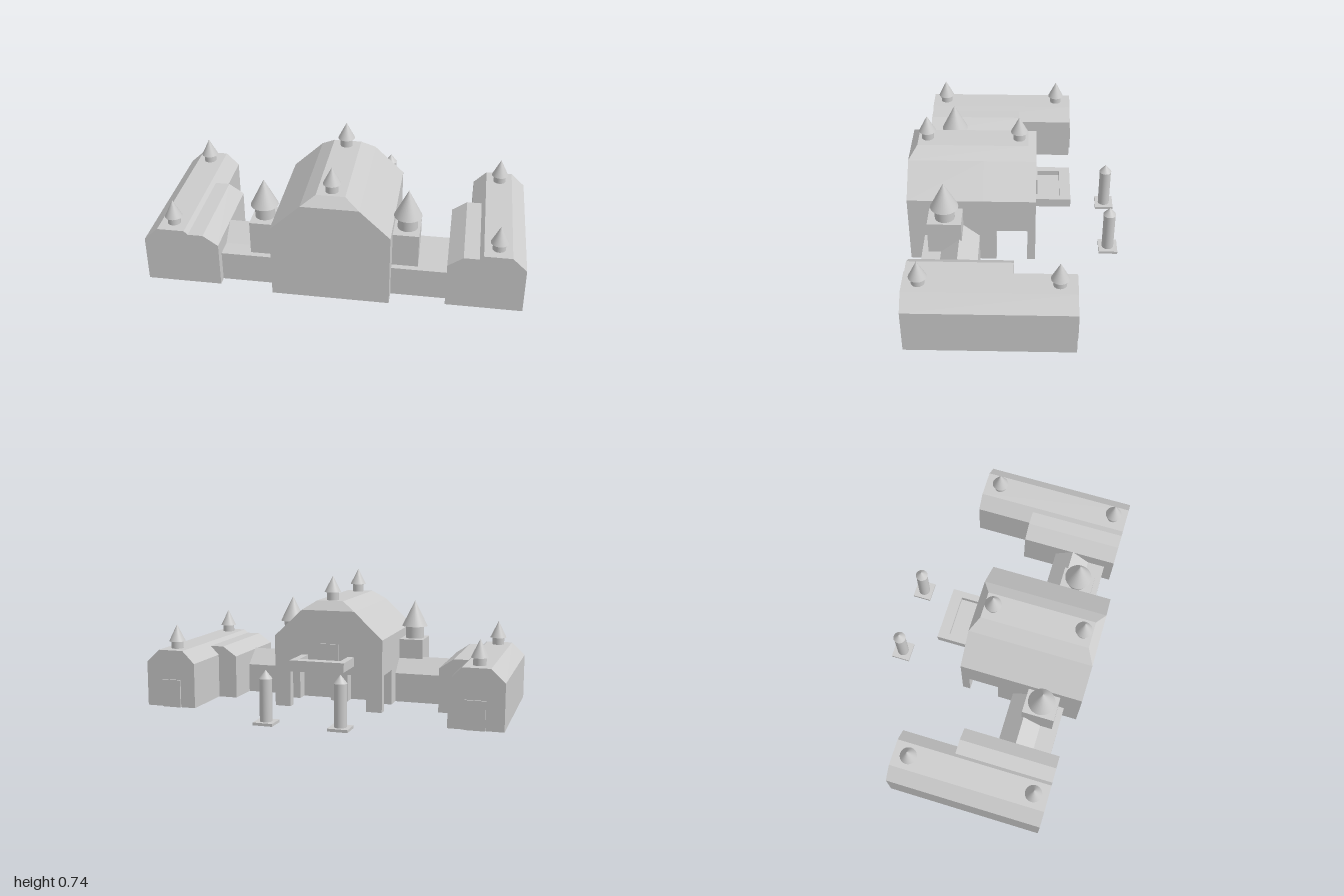
import * as THREE from 'three';

const grey = new THREE.MeshStandardMaterial({ color: 0xcccccc });

function add(parent, name, geometry) {
  const mesh = new THREE.Mesh(geometry, grey);
  mesh.name = name;
  parent.add(mesh);
  return mesh;
}

// Box given by its limits on each axis
function block(parent, name, x0, x1, y0, y1, z0, z1) {
  const g = new THREE.BoxGeometry(Math.abs(x1 - x0), y1 - y0, z1 - z0);
  g.translate((x0 + x1) / 2, (y0 + y1) / 2, (z0 + z1) / 2);
  return add(parent, name, g);
}

// Outline in x and y, extruded from z0 to z1
function prism(parent, name, points, z0, z1) {
  const shape = new THREE.Shape(points.map(([x, y]) => new THREE.Vector2(x, y)));
  const g = new THREE.ExtrudeGeometry(shape, { depth: z1 - z0, bevelEnabled: false });
  g.translate(0, 0, z0);
  return add(parent, name, g);
}

// Round drum with a conical cap
function turret(parent, name, x, z, y0, y1, y2, r, capR) {
  const t = new THREE.Group();
  t.name = name;
  t.position.set(x, 0, z);
  add(t, 'drum', new THREE.CylinderGeometry(r, r, y1 - y0, 32)).position.y = (y0 + y1) / 2;
  add(t, 'cap', new THREE.ConeGeometry(capR, y2 - y1, 32)).position.y = (y1 + y2) / 2;
  parent.add(t);
}

function buildHall(root) {
  const hall = new THREE.Group();
  hall.name = 'mainHall';
  root.add(hall);
  const outline = (y) => [[-0.31, y], [0.31, y], [0.31, 0.4], [0.15, 0.55], [-0.15, 0.55], [-0.31, 0.4]];
  prism(hall, 'hallFront', outline(0), 0.17, 0.575);
  prism(hall, 'hallOverPorch', outline(0.2), -0.114, 0.17);

  // Hipped crown: a box whose top is drawn in
  const crown = new THREE.BoxGeometry(0.3, 0.05, 0.689);
  const p = crown.attributes.position;
  for (let i = 0; i < p.count; i++) {
    if (p.getY(i) > 0) {
      p.setX(i, Math.sign(p.getX(i)) * 0.075);
      p.setZ(i, Math.sign(p.getZ(i)) * 0.3);
    }
  }
  crown.computeVertexNormals();
  add(hall, 'roofCrown', crown).position.set(0, 0.575, 0.2305);
  for (const z of [0.48, -0.02]) turret(hall, 'roofTurret', 0, z, 0.6, 0.645, 0.735, 0.033, 0.046);

  // Open porch under the back of the hall
  for (const s of [-1, 1]) {
    block(hall, 'porchPier', s * 0.22, s * 0.31, 0, 0.2, -0.114, -0.07);
    block(hall, 'porchInnerPier', s * 0.24, s * 0.31, 0, 0.2, 0.1, 0.17);
  }
  block(hall, 'porchMiddlePier', -0.05, 0.05, 0, 0.2, 0.1, 0.17);

  // Balcony with parapet and door
  block(hall, 'balconyFloor', -0.152, 0.152, 0.25, 0.27, -0.305, -0.114);
  block(hall, 'balconyFrontWall', -0.152, 0.152, 0.27, 0.3, -0.305, -0.245);
  for (const s of [-1, 1]) block(hall, 'balconySideWall', s * 0.115, s * 0.152, 0.27, 0.3, -0.245, -0.114);
  block(hall, 'balconyDoor', -0.065, 0.065, 0.27, 0.367, -0.123, -0.114);
}

function buildSide(root, s) {
  const side = new THREE.Group();
  side.name = s > 0 ? 'leftSide' : 'rightSide';
  root.add(side);
  const mirror = (pts) => pts.map(([x, y]) => [s * x, y]);

  // Long wing and its lower inner aisle
  prism(side, 'wing', mirror([[0.71, 0], [1, 0], [1, 0.25], [0.925, 0.32], [0.78, 0.32], [0.71, 0.25]]), -0.325, 0.54);
  prism(side, 'wingAisle', mirror([[0.6, 0], [0.76, 0], [0.76, 0.3], [0.68, 0.3], [0.6, 0.245]]), -0.005, 0.54);
  block(side, 'wingDoor', s * 0.795, s * 0.905, 0, 0.155, -0.335, -0.325);
  for (const z of [0.46, -0.235]) turret(side, 'wingTurret', s * 0.855, z, 0.32, 0.36, 0.455, 0.034, 0.046);

  // Connecting passage: gabled back with a flat ledge in front (section is -z, y)
  const link = prism(side, 'passage', [[-0.49, 0], [-0.19, 0], [-0.19, 0.165], [-0.29, 0.25], [-0.39, 0.165], [-0.49, 0.165]], 0, 0.29);
  link.rotation.y = Math.PI / 2;
  link.position.x = s > 0 ? 0.31 : -0.6;

  // Square tower with a round turret
  block(side, 'towerBase', s * 0.31, s * 0.447, 0, 0.35, 0.277, 0.457);
  turret(side, 'towerTurret', s * 0.38, 0.367, 0.35, 0.42, 0.568, 0.053, 0.074);

  // Free-standing column in the back court
  block(side, 'columnPlinth', s * 0.148, s * 0.256, 0, 0.015, -0.575, -0.47);
  turret(side, 'column', s * 0.202, -0.522, 0.015, 0.24, 0.285, 0.033, 0.035);
}

export function createModel() {
  const root = new THREE.Group();
  root.name = 'building';
  buildHall(root);
  for (const s of [-1, 1]) buildSide(root, s);
  return root;
}
